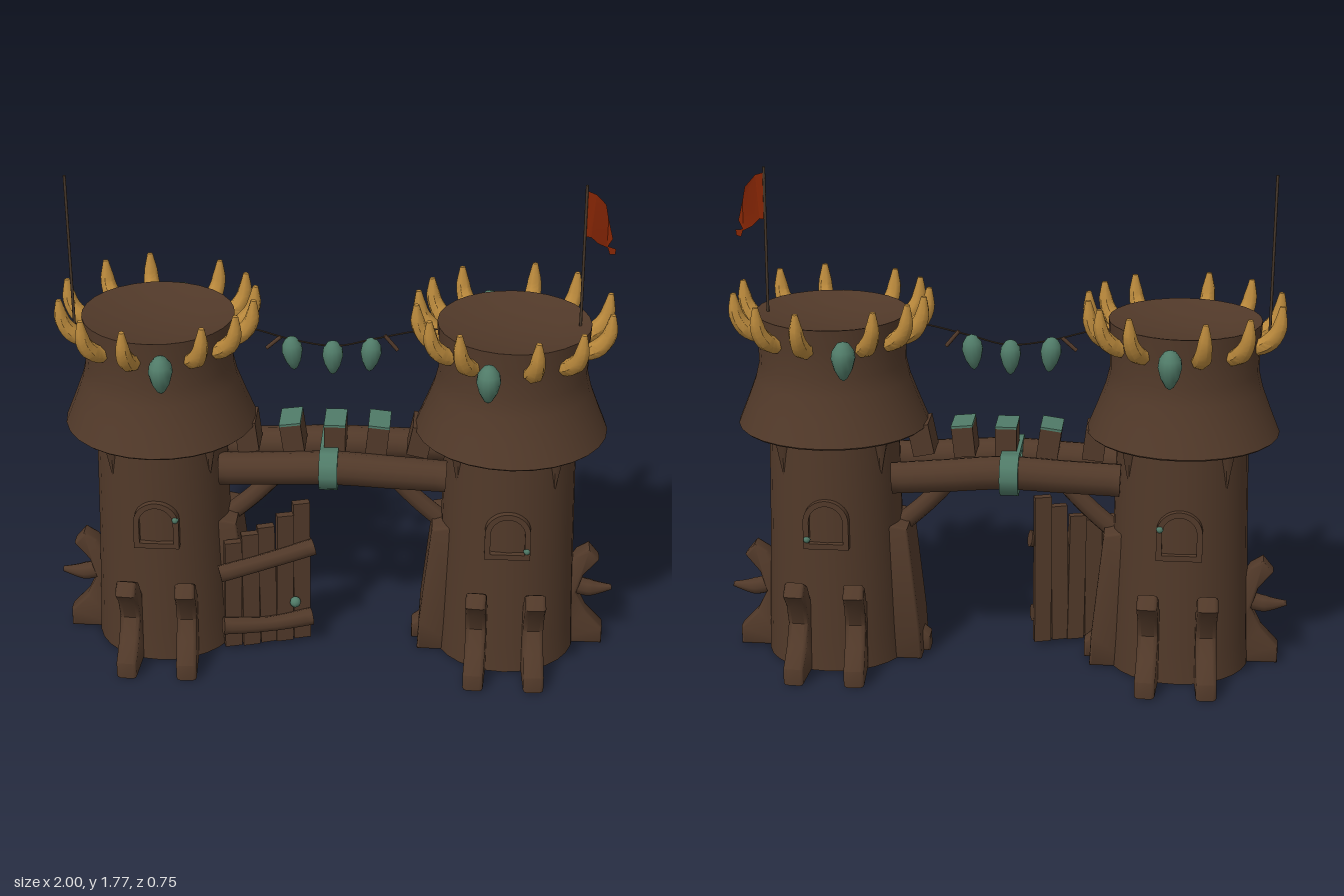
import * as THREE from 'three';
import { toCreasedNormals, mergeVertices } from 'three/addons/utils/BufferGeometryUtils.js';

const V = (x, y, z) => new THREE.Vector3(x, y, z);
const V2 = a => new THREE.Vector2(...a);
const mat = (name, color) => new THREE.MeshStandardMaterial({ name, color });

export function createModel() {
  const wood = mat('brownWood', 0x513929);
  const gold = mat('goldHorn', 0xba893c);
  const teal = mat('tealPaint', 0x507b68);
  const red = mat('redCloth', 0x852504);
  const dark = mat('darkWood', 0x46372a);
  red.side = THREE.DoubleSide;

  const model = new THREE.Group();
  model.name = 'gateWithTowers';

  const add = (parent, name, geo, material, x = 0, y = 0, z = 0) => {
    const m = new THREE.Mesh(geo, material);
    m.name = name;
    m.position.set(x, y, z);
    parent.add(m);
    return m;
  };

  // Tube with interpolated radii and flat closed ends
  const limb = (pts, radii, sides = 8, n = 14) => {
    const curve = new THREE.CatmullRomCurve3(pts);
    const g = new THREE.TubeGeometry(curve, n, 1, sides);
    const p = g.attributes.position;
    for (let i = 0; i <= n; i++) {
      const c = curve.getPointAt(i / n);
      const near = curve.getPointAt(i === 0 ? 1 / n : i === n ? 1 - 1 / n : i / n);
      const f = (i / n) * (radii.length - 1), k = Math.min(Math.floor(f), radii.length - 2);
      const r = i === 0 || i === n ? 0 : THREE.MathUtils.lerp(radii[k], radii[k + 1], f - k);
      for (let j = 0; j <= sides; j++) {
        const q = i * (sides + 1) + j;
        const v = V().fromBufferAttribute(p, q).sub(c).multiplyScalar(r).add(near);
        p.setXYZ(q, v.x, v.y, v.z);
      }
    }
    return toCreasedNormals(g, 0.9);
  };

  // Cylinder between two points
  const rod = (parent, name, a, b, r, material) => {
    const d = b.clone().sub(a);
    const m = add(parent, name, new THREE.CylinderGeometry(r, r, d.length(), 8), material);
    m.position.copy(a).add(b).multiplyScalar(0.5);
    m.quaternion.setFromUnitVectors(V(0, 1, 0), d.normalize());
  };

  const lathe = (pts, seg) => toCreasedNormals(new THREE.LatheGeometry(pts.map(V2), seg), 0.65);

  const towerGeo = lathe([[0, 0.01], [0.253, 0.01], [0.248, 0.12], [0.238, 0.45], [0.228, 0.93],
    [0.328, 0.868], [0.336, 0.875], [0.302, 0.96], [0.272, 1.04], [0.258, 1.1], [0.261, 1.2], [0.265, 1.275],
    [0.25, 1.272], [0.16, 1.25], [0, 1.245]], 28);
  const charmGeo = lathe([[0, -0.5], [0.11, -0.42], [0.24, -0.2], [0.32, 0.08], [0.29, 0.27], [0.16, 0.44], [0, 0.5]], 14);

  // Side profile given a thickness along z, with softened edges
  const slab = (pts, depth) => toCreasedNormals(new THREE.ExtrudeGeometry(new THREE.Shape(pts.map(V2)),
    { depth: depth - 0.028, bevelThickness: 0.014, bevelSize: 0.008, bevelSegments: 2 }).translate(0, 0, 0.014 - depth / 2), 0.8);

  // Forked root with a flat foot, and the wide gate jamb; both point along +x
  const rootGeo = slab([[0.2, 0.015], [0.365, 0.015], [0.365, 0.065], [0.305, 0.125], [0.265, 0.2],
    [0.29, 0.275], [0.338, 0.33], [0.31, 0.362], [0.272, 0.34], [0.235, 0.28], [0.2, 0.26]], 0.072);
  const jambGeo = slab([[0.16, 0.015], [0.305, 0.015], [0.3, 0.12], [0.26, 0.5], [0.16, 0.52]], 0.23);
  const footGeo = slab([[0.2, 0.015], [0.328, 0.015], [0.328, 0.06], [0.29, 0.09], [0.2, 0.1]], 0.08);

  // Arched window frame
  const arch = (Path, w, b, t) => new Path().moveTo(-w, b).lineTo(w, b).lineTo(w, t).absarc(0, t, w, 0, Math.PI, false).lineTo(-w, b);
  const frame = arch(THREE.Shape, 0.08, 0, 0.1);
  frame.holes.push(arch(THREE.Path, 0.06, 0.02, 0.1));
  const frameGeo = new THREE.ExtrudeGeometry(frame, { depth: 0.04, bevelEnabled: false, curveSegments: 10 });

  const hornAngles = [8, 32, 57, 103, 132, 165, 195, 230, 258, 303, 328, 348];

  // Tower; s = -1 or 1 is its side, local u points away from the gate
  const tower = s => {
    const t = new THREE.Group();
    t.name = s < 0 ? 'rightTower' : 'leftTower';
    t.position.x = s * 0.615;
    model.add(t);
    const P = (u, y, z) => V(s * u, y, z);
    add(t, 'towerBody', towerGeo, wood).scale.z = 0.985;

    // Crown of curved horns
    for (const deg of hornAngles) {
      const a = THREE.MathUtils.degToRad(deg), c = -Math.cos(a), d = Math.sin(a);
      const at = (r, y) => P(r * c, y, r * d);
      add(t, 'horn', limb([at(0.235, 1.195), at(0.285, 1.213), at(0.328, 1.265), at(0.342, 1.37)],
        [0.029, 0.032, 0.024, 0.005], 7, 12), gold);
    }

    for (const f of [1, -1]) {
      // Hanging shields, windows, latches and eave wedges on both faces
      add(t, 'shield', charmGeo, teal, s < 0 ? 0.045 : -0.085, 1.183, f * 0.303).scale.set(0.13, 0.14, 0.16);
      const w = add(t, 'windowFrame', frameGeo, wood, 0, 0.475, f * 0.21);
      if (f < 0) w.rotation.y = Math.PI;
      add(t, 'windowLatch', new THREE.SphereGeometry(0.013, 8, 6), teal, 0.068, s < 0 ? 0.59 : 0.51, f * 0.245);
      for (const u of [0.155, -0.18]) {
        const wedge = add(t, 'eaveWedge', new THREE.ConeGeometry(0.04, 0.2, 6), wood, s * u, 0.795, f * Math.sqrt(0.0506 - u * u));
        wedge.rotation.x = Math.PI;
      }
      for (const side of [1, -1])
        add(t, 'root', rootGeo, wood, side * 0.085).rotation.y = f * (side * 0.06 - Math.PI / 2);
    }
    // Outer root with side spike
    const outer = add(t, 'outerRoot', rootGeo, wood, s * -0.015);
    outer.rotation.y = s < 0 ? Math.PI : 0;
    outer.scale.y = 1.08;
    add(t, 'rootSpike', limb([P(0.22, 0.25, 0), P(0.3, 0.225, 0), P(0.398, 0.23, 0)], [0.035, 0.032, 0.006]), wood);
    // Gate jamb with a foot, and the diagonal brace under the bridge
    add(t, 'gateJamb', jambGeo, wood).rotation.y = s > 0 ? Math.PI : 0;
    add(t, 'jambFoot', footGeo, wood).rotation.y = s > 0 ? Math.PI : 0;
    add(t, 'innerBrace', limb([P(-0.2, 0.46, 0), P(-0.32, 0.565, 0), P(-0.43, 0.68, 0)], [0.036, 0.034, 0.032]), wood);
  };
  tower(-1);
  tower(1);

  // Flag poles
  rod(model, 'flagPole', V(-0.905, 1.22, 0.02), V(-0.912, 1.78, 0.02), 0.005, dark);
  rod(model, 'flagPole', V(0.84, 1.22, -0.005), V(0.838, 1.78, -0.005), 0.005, dark);

  // Torn flag, rippled along its length
  const cloth = pts => {
    const g = new THREE.ShapeGeometry(new THREE.Shape(pts.map(V2)));
    const p = g.attributes.position;
    for (let i = 0; i < p.count; i++) p.setZ(i, 0.007 * Math.sin(p.getX(i) * 70));
    return toCreasedNormals(mergeVertices(g), 0.5);
  };
  add(model, 'flag', cloth([[0, 0], [0.03, -0.01], [0.065, -0.05], [0.075, -0.1], [0.093, -0.17],
    [0.075, -0.205], [0.045, -0.19], [0.02, -0.165], [0, -0.165]]), red, 0.84, 1.76, -0.005);
  add(model, 'flagScrap', cloth([[0.075, -0.2], [0.105, -0.205], [0.103, -0.225], [0.085, -0.228]]), red, 0.84, 1.76, -0.005);

  // Bridge logs with teal bindings
  for (const [z, skew] of [[0.088, 0], [-0.112, -0.035]]) {
    add(model, 'bridgeLog', limb([V(-0.44, 0.715, z), V(-0.2, 0.724, z), V(0, 0.732, z), V(0.2, 0.722, z + skew / 2),
      V(0.43, 0.71, z + skew)], [0.058, 0.058, 0.06, 0.058, 0.055], 12, 24), wood);
    const band = add(model, 'logBinding', new THREE.CylinderGeometry(0.075, 0.075, 0.065, 10), teal, -0.018, 0.727, z);
    band.rotation.z = Math.PI / 2;
  }
  add(model, 'bindingStrap', new THREE.BoxGeometry(0.065, 0.025, 0.22), teal, -0.018, 0.785, -0.01);

  // Battlement blocks with painted tops
  [[-0.31, 0.12], [-0.15, 0.14], [0, 0], [0.15, -0.1], [0.3, -0.2]].forEach(([x, tilt], i) => {
    const b = new THREE.Group();
    b.name = 'battlement';
    b.position.set(x, 0.825, -0.005);
    b.rotation.z = tilt;
    model.add(b);
    add(b, 'block', new THREE.BoxGeometry(0.075, 0.11, 0.13), wood);
    if (i > 0 && i < 4) add(b, 'paintedTop', new THREE.BoxGeometry(0.076, 0.008, 0.131), teal, 0, 0.056, 0);
  });

  // Garland rope, twigs and hanging charms
  const rope = new THREE.CatmullRomCurve3([V(-0.36, 1.23, 0), V(-0.28, 1.22, 0), V(-0.16, 1.187, 0), V(0, 1.165, 0),
    V(0.13, 1.195, 0), V(0.28, 1.23, 0), V(0.36, 1.24, 0)]);
  add(model, 'rope', new THREE.TubeGeometry(rope, 30, 0.003, 6), dark);
  rod(model, 'twig', V(-0.24, 1.15, 0), V(-0.19, 1.195, 0), 0.007, wood);
  rod(model, 'twig', V(0.17, 1.21, 0), V(0.215, 1.155, 0), 0.007, wood);
  for (const [x, y, tilt] of [[-0.15, 1.133, 0.1], [-0.01, 1.12, 0], [0.122, 1.135, -0.08]]) {
    const c = add(model, 'charm', charmGeo, teal, x, y, 0);
    c.scale.set(0.115, 0.13, 0.115);
    c.rotation.z = tilt;
  }

  // Gate leaf, hinged at the front of one tower and swung slightly back
  const gate = new THREE.Group();
  gate.name = 'gate';
  gate.position.set(-0.39, 0, 0.15);
  gate.rotation.y = 0.29;
  model.add(gate);
  [0.45, 0.48, 0.5, 0.54, 0.58].forEach((top, i) => {
    const p = add(gate, 'plank', new THREE.BoxGeometry(0.061, top - 0.02, 0.03), wood, 0.03 + i * 0.063, 0.02 + (top - 0.02) / 2, (i % 2) * 0.006);
    p.rotation.z = 0.015 * (i % 3 - 1);
  });
  add(gate, 'upperRail', limb([V(-0.05, 0.335, 0.03), V(0.15, 0.375, 0.035), V(0.35, 0.415, 0.03)], [0.032, 0.03, 0.032]), wood);
  add(gate, 'lowerRail', limb([V(-0.04, 0.125, 0.03), V(0.15, 0.11, 0.035), V(0.34, 0.12, 0.03)], [0.034, 0.028, 0.034]), wood);
  add(gate, 'gateKnob', new THREE.SphereGeometry(0.02, 10, 8), teal, 0.253, 0.185, 0.03);

  return model;
}
